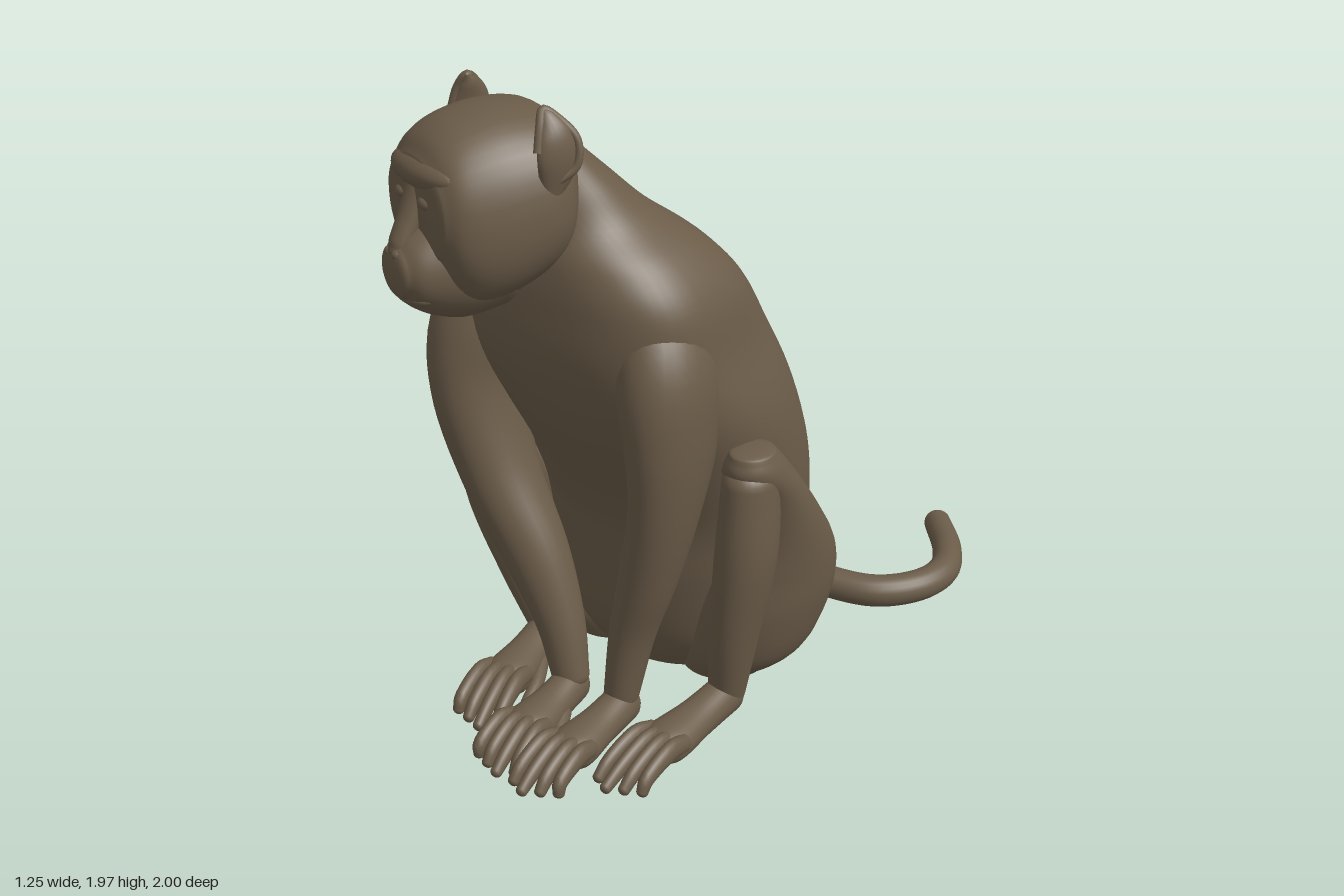
import * as THREE from 'three';

const fur = new THREE.MeshStandardMaterial({ color: 0x6b5c49 });
fur.name = 'brown fur';

const v3 = (p) => new THREE.Vector3(p[0], p[1], p[2]);

function add(parent, name, geometry) {
  const mesh = new THREE.Mesh(geometry, fur);
  mesh.name = name;
  parent.add(mesh);
  return mesh;
}

function ellipsoid(parent, name, [x, y, z], [rx, ry, rz]) {
  const g = new THREE.SphereGeometry(1, 32, 22).scale(rx, ry, rz).translate(x, y, z);
  return add(parent, name, g);
}

// Smooth skin over sections [x, y, z, halfWidth, halfDepth, squareness], with domed ends.
// axis fixes the ring plane; squareness above 2 makes a ring boxier.
function loft(sections, { axis, ref = [1, 0, 0], cap = 0.8, steps = 6, sides = 28 } = {}) {
  const path = new THREE.CatmullRomCurve3(sections.map(v3), false, 'catmullrom', 0.5);
  const size = new THREE.CatmullRomCurve3(sections.map((s) => new THREE.Vector3(s[3], s[4], s[5] ?? 2)), false, 'catmullrom', 0.5);
  const rings = [];
  const domes = 6, n = (sections.length - 1) * steps;
  for (let k = domes; k > 0; k--) rings.push([0, -k / domes]);
  for (let i = 0; i <= n; i++) rings.push([i / n, 0]);
  for (let k = 1; k <= domes; k++) rings.push([1, k / domes]);
  const pos = [], index = [];
  rings.forEach(([t, dome], i) => {
    const T = axis ? v3(axis) : path.getTangent(t);
    const U = v3(ref);
    U.addScaledVector(T, -U.dot(T)).normalize();
    const V = T.clone().cross(U);
    const r = size.getPoint(t);
    const power = (c) => Math.sign(c) * Math.pow(Math.abs(c), 2 / r.z);
    const bend = dome * Math.PI / 2;
    const c = path.getPoint(t).addScaledVector(T, Math.sin(bend) * cap * Math.min(r.x, r.y));
    for (let j = 0; j < sides; j++) {
      const a = j / sides * Math.PI * 2;
      const p = c.clone()
        .addScaledVector(U, power(Math.cos(a)) * r.x * Math.cos(bend))
        .addScaledVector(V, power(Math.sin(a)) * r.y * Math.cos(bend));
      pos.push(p.x, p.y, p.z);
      if (i < rings.length - 1) {
        const k = i * sides + j, m = i * sides + (j + 1) % sides;
        index.push(k, m, k + sides, m, m + sides, k + sides);
      }
    }
  });
  const g = new THREE.BufferGeometry();
  g.setAttribute('position', new THREE.Float32BufferAttribute(pos, 3));
  g.setIndex(index);
  g.computeVertexNormals();
  return g;
}

// Upright form from level slices [height, back z, front z, right x, left x, squareness]
function slices(rows, options) {
  return loft(rows.map(([y, zb, zf, xr, xl, sq]) => [(xr + xl) / 2, y, (zb + zf) / 2, (xl - xr) / 2, (zf - zb) / 2, sq]),
    { axis: [0, 1, 0], ...options });
}

// Hand or foot reaching along the ground from wrist to fingertips
function paw(parent, name, [x0, z0], [x1, z1], thumbSide) {
  const g = new THREE.Group();
  g.name = name;
  g.position.set(x0, 0, z0);
  g.rotation.y = Math.atan2(x1 - x0, z1 - z0);
  const L = Math.hypot(x1 - x0, z1 - z0);
  add(g, 'palm', loft([
    [0, 0.095, -0.01, 0.055, 0.065], [0, 0.085, 0.25 * L, 0.062, 0.058],
    [0, 0.082, 0.5 * L, 0.078, 0.058], [0, 0.085, 0.6 * L, 0.072, 0.048],
  ]));
  for (let i = -1.5; i <= 1.5; i++) {
    const end = L - 0.02 - 0.025 * Math.abs(i - 0.5 * thumbSide);
    add(g, 'finger', loft([
      [i * 0.038, 0.095, 0.5 * L, 0.024, 0.03], [i * 0.043, 0.11, 0.64 * L, 0.024, 0.034],
      [i * 0.046, 0.085, 0.82 * L, 0.021, 0.027], [i * 0.047, 0.05, end, 0.017, 0.019],
    ], { sides: 12, steps: 4 }));
  }
  add(g, 'thumb', loft([
    [thumbSide * 0.04, 0.07, 0.25 * L, 0.03, 0.03], [thumbSide * 0.08, 0.055, 0.45 * L, 0.023, 0.024],
    [thumbSide * 0.09, 0.04, 0.62 * L, 0.017, 0.017],
  ], { sides: 12, steps: 4 }));
  parent.add(g);
}

// Head modelled facing +z, heights measured from the ground before centring
function makeHead() {
  const head = new THREE.Group();
  head.name = 'head';
  const inner = new THREE.Group();
  inner.name = 'headParts';
  inner.position.y = -1.64;
  head.add(inner);
  head.position.set(-0.19, 1.64, 0.5);
  head.rotation.set(0, -0.44, 0.08, 'YXZ');

  // Forward-facing form from rows [z, half width, top, bottom, squareness]
  const forward = (rows, cap) => loft(
    rows.map(([z, w, top, low, sq]) => [0, (top + low) / 2, z, w, (top - low) / 2, sq]),
    { axis: [0, 0, 1], cap, sides: 40 });
  add(inner, 'skull', forward([
    [-0.09, 0.17, 1.87, 1.54, 2.2], [-0.04, 0.235, 1.91, 1.47, 2.3], [0.03, 0.262, 1.925, 1.43, 2.3], [0.13, 0.255, 1.925, 1.39, 2.3],
    [0.22, 0.235, 1.905, 1.39, 2.3], [0.28, 0.21, 1.87, 1.44, 2.3], [0.315, 0.175, 1.825, 1.52, 2.2],
  ], 0.12));
  add(inner, 'muzzle', forward([
    [0.12, 0.19, 1.67, 1.36], [0.22, 0.162, 1.67, 1.345], [0.3, 0.132, 1.65, 1.365],
    [0.36, 0.108, 1.615, 1.4], [0.392, 0.08, 1.585, 1.435],
  ], 0.3));
  ellipsoid(inner, 'lowerLip', [0, 1.435, 0.335], [0.092, 0.03, 0.055]);
  ellipsoid(inner, 'upperLip', [0, 1.495, 0.35], [0.092, 0.034, 0.058]);
  add(inner, 'noseBridge', loft([
    [0, 1.77, 0.295, 0.045, 0.03], [0, 1.66, 0.335, 0.04, 0.035],
    [0, 1.59, 0.372, 0.036, 0.032], [0, 1.565, 0.388, 0.03, 0.022],
  ]));
  ellipsoid(inner, 'browRidge', [0, 1.775, 0.27], [0.178, 0.055, 0.078]);
  for (const s of [-1, 1]) {
    ellipsoid(inner, 'eye', [s * 0.07, 1.705, 0.315], [0.036, 0.022, 0.026]);
    ellipsoid(inner, 'cheek', [s * 0.095, 1.61, 0.24], [0.1, 0.085, 0.085]);
    ellipsoid(inner, 'nostril', [s * 0.022, 1.562, 0.393], [0.02, 0.016, 0.018]);
    // Pointed ear: thin shell with a raised rim
    add(inner, 'ear', loft([
      [s * 0.235, 1.72, 0.03, 0.025, 0.035], [s * 0.255, 1.8, 0.015, 0.025, 0.06],
      [s * 0.25, 1.87, 0.015, 0.028, 0.055], [s * 0.232, 1.92, 0.025, 0.022, 0.03], [s * 0.22, 1.945, 0.035, 0.01, 0.01],
    ], { sides: 20 }));
    const rim = [[0.25, 1.74, 0.045], [0.275, 1.79, -0.03], [0.268, 1.86, -0.04], [0.24, 1.92, 0.0],
      [0.223, 1.945, 0.033], [0.243, 1.91, 0.055], [0.258, 1.84, 0.075]].map(([x, y, z]) => v3([s * x, y, z]));
    add(inner, 'earRim', new THREE.TubeGeometry(new THREE.CatmullRomCurve3(rim), 40, 0.012, 8));
  }
  return head;
}

export function createModel() {
  const model = new THREE.Group();
  model.name = 'sittingMonkey';

  // Torso and neck, boxier across the shoulders
  add(model, 'torso', slices([
    [0.03, -0.17, 0.2, -0.26, 0.22, 2], [0.1, -0.25, 0.25, -0.33, 0.29, 2], [0.2, -0.3, 0.29, -0.38, 0.34, 2],
    [0.4, -0.345, 0.33, -0.41, 0.39, 2], [0.6, -0.345, 0.36, -0.43, 0.42, 2], [0.8, -0.31, 0.45, -0.44, 0.43, 2.05],
    [1.0, -0.22, 0.55, -0.45, 0.42, 2.25], [1.2, -0.1, 0.605, -0.47, 0.37, 2.8], [1.38, 0.015, 0.61, -0.44, 0.335, 2.9],
    [1.5, 0.1, 0.6, -0.38, 0.255, 2.5], [1.6, 0.2, 0.58, -0.35, 0.13, 2.2], [1.7, 0.285, 0.58, -0.34, 0.05, 2],
    [1.8, 0.375, 0.58, -0.33, -0.03, 2], [1.86, 0.42, 0.58, -0.31, -0.08, 2],
  ], { cap: 0.15, sides: 48 }));

  model.add(makeHead());

  // Arms, sunk into the shoulders
  add(model, 'rightArm', loft([
    [-0.29, 1.38, 0.36, 0.1, 0.13], [-0.39, 1.2, 0.43, 0.14, 0.175], [-0.395, 1.0, 0.465, 0.125, 0.17],
    [-0.32, 0.75, 0.485, 0.11, 0.13], [-0.19, 0.5, 0.49, 0.1, 0.1], [-0.1, 0.3, 0.5, 0.075, 0.075],
    [-0.05, 0.13, 0.52, 0.058, 0.055]]));
  add(model, 'leftArm', loft([
    [0.16, 1.39, 0.36, 0.1, 0.13], [0.235, 1.2, 0.425, 0.135, 0.175], [0.265, 1.0, 0.445, 0.118, 0.17],
    [0.26, 0.78, 0.47, 0.095, 0.13], [0.215, 0.55, 0.49, 0.085, 0.095], [0.165, 0.35, 0.5, 0.068, 0.075],
    [0.135, 0.13, 0.52, 0.052, 0.055]]));
  paw(model, 'rightHand', [-0.05, 0.52], [-0.03, 0.97], 1);
  paw(model, 'leftHand', [0.135, 0.52], [0.13, 1.0], -1);

  // Folded hind legs: broad haunch and thigh rising to the knee, then the shin
  add(model, 'rightThigh', slices([
    [0.035, -0.1, 0.19, -0.36, -0.08], [0.13, -0.2, 0.24, -0.47, -0.08], [0.28, -0.245, 0.26, -0.57, -0.12],
    [0.42, -0.2, 0.25, -0.61, -0.19], [0.56, -0.08, 0.25, -0.625, -0.28], [0.7, 0.06, 0.29, -0.615, -0.38],
    [0.79, 0.14, 0.36, -0.605, -0.43], [0.84, 0.2, 0.36, -0.58, -0.46],
  ], { cap: 0.2 }));
  add(model, 'rightShin', loft([
    [-0.525, 0.77, 0.285, 0.075, 0.1], [-0.48, 0.56, 0.305, 0.085, 0.105],
    [-0.38, 0.32, 0.305, 0.075, 0.09], [-0.29, 0.1, 0.3, 0.055, 0.06]]));
  add(model, 'leftThigh', slices([
    [0.035, -0.1, 0.19, 0.06, 0.34], [0.13, -0.2, 0.24, 0.08, 0.45], [0.3, -0.245, 0.26, 0.12, 0.51],
    [0.45, -0.2, 0.25, 0.16, 0.53], [0.6, -0.08, 0.25, 0.22, 0.535], [0.76, 0.06, 0.29, 0.29, 0.53],
    [0.87, 0.155, 0.37, 0.34, 0.52], [0.93, 0.21, 0.36, 0.37, 0.5],
  ], { cap: 0.2 }));
  add(model, 'leftShin', loft([
    [0.435, 0.84, 0.29, 0.08, 0.1], [0.43, 0.6, 0.305, 0.088, 0.105],
    [0.4, 0.35, 0.31, 0.072, 0.09], [0.365, 0.1, 0.3, 0.055, 0.06]]));
  paw(model, 'rightFoot', [-0.29, 0.31], [-0.21, 0.82], 1);
  paw(model, 'leftFoot', [0.365, 0.31], [0.32, 0.86], -1);

  // Tail lying on the ground in a hook
  add(model, 'tail', loft([
    [-0.08, 0.15, -0.24, 0.08, 0.08], [-0.01, 0.13, -0.36, 0.068, 0.068], [0.12, 0.1, -0.415, 0.054, 0.054],
    [0.3, 0.085, -0.425, 0.052, 0.052], [0.45, 0.08, -0.465, 0.052, 0.052], [0.55, 0.08, -0.57, 0.051, 0.051],
    [0.575, 0.08, -0.7, 0.05, 0.05], [0.52, 0.08, -0.83, 0.048, 0.048], [0.415, 0.08, -0.963, 0.044, 0.044],
  ], { ref: [0, 1, 0], sides: 20 }));

  return model;
}
